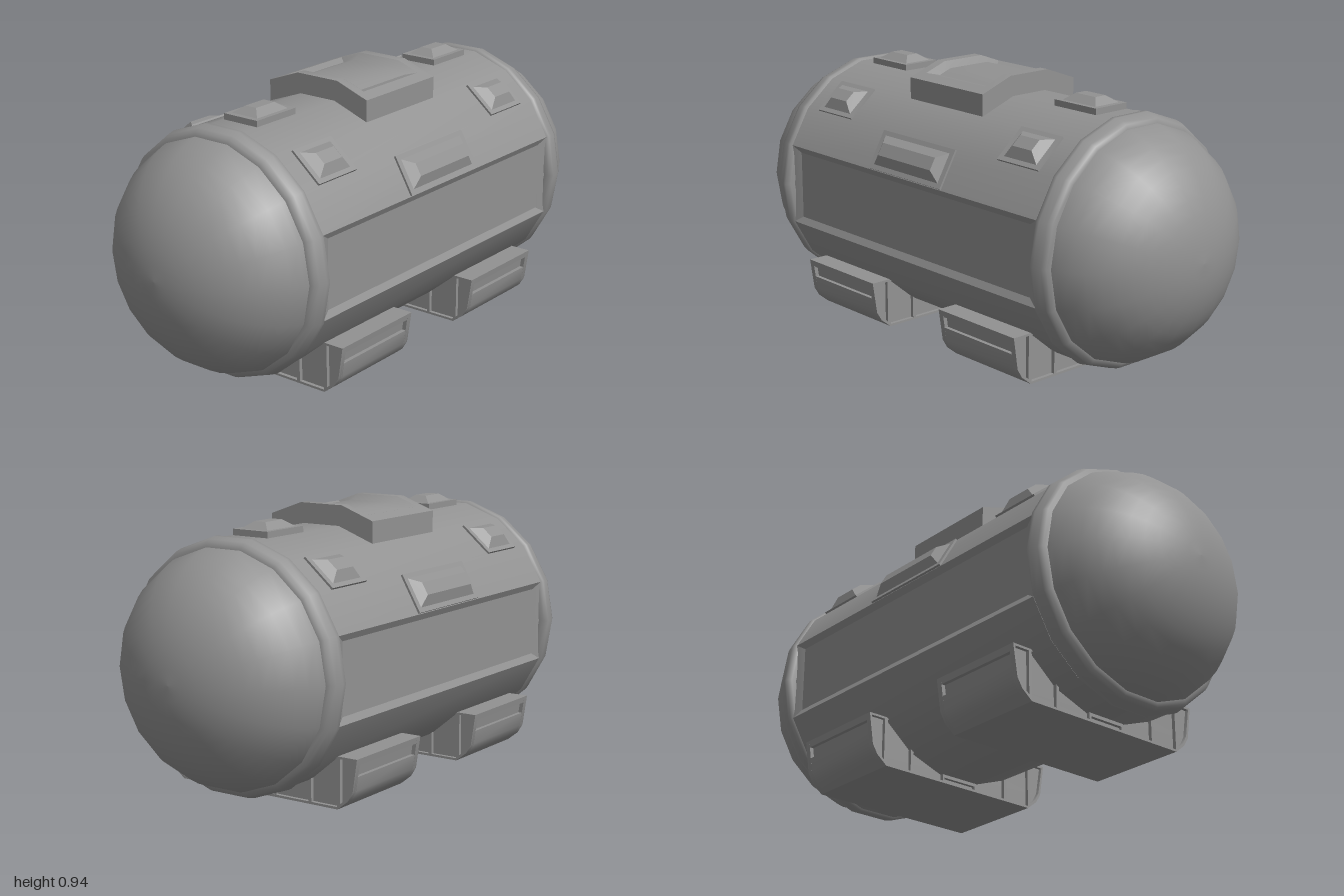
import * as THREE from 'three';
import { toCreasedNormals } from 'three/addons/utils/BufferGeometryUtils.js';

const material = new THREE.MeshStandardMaterial({ color: 0x929292 });
const SIDES = 18, RADIUS = 0.425, AXIS_Y = 0.45, CREASE = 0.42;

function part(name, geometry, parent) {
  const mesh = new THREE.Mesh(geometry, material);
  mesh.name = name;
  parent.add(mesh);
  return mesh;
}

const toShape = pts => new THREE.Shape(pts.map(p => new THREE.Vector2(...p)));
const mirrorX = pts => pts.map(([x, y]) => [-x, y]).reverse();

// Extrudes a shape along z between two positions
function slab(shape, z0, z1) {
  const g = new THREE.ExtrudeGeometry(shape, { depth: z1 - z0, bevelEnabled: false });
  g.translate(0, 0, z0);
  return toCreasedNormals(g, CREASE);
}

// Joins rectangular rings from bottom to top and caps the last one.
// Each ring has its x lines, half depth z and a height rule y(x).
function ringBox(rings) {
  const n = rings[0].xs.length, loop = 2 * n;
  const positions = [], index = [];
  const quad = (a, b, c, d) => index.push(a, b, c, a, c, d);
  for (const { xs, z, y } of rings) {
    for (const x of xs) positions.push(x, y(x), z);
    for (const x of xs.slice().reverse()) positions.push(x, y(x), -z);
  }
  for (let r = 0; r < rings.length - 1; r++) {
    for (let i = 0; i < loop; i++) {
      const a = r * loop + i, b = r * loop + (i + 1) % loop;
      quad(a, b, b + loop, a + loop);
    }
  }
  const top = (rings.length - 1) * loop;
  for (let i = 0; i < n - 1; i++) {
    quad(top + i, top + i + 1, top + loop - 2 - i, top + loop - 1 - i);
  }
  const g = new THREE.BufferGeometry();
  g.setAttribute('position', new THREE.Float32BufferAttribute(positions, 3));
  g.setIndex(index);
  return toCreasedNormals(g, CREASE);
}

// Raised cover with a bevelled centre, turned around the tank axis
function addHatch(name, parent, z, halfLength, degrees, base, peak) {
  const ring = (x, inset, y) => ({ xs: [-x, x], z: halfLength - inset, y: () => y });
  const hatch = part(name, ringBox([
    ring(0.071, 0, 0.38), ring(0.071, 0, base), ring(0.054, 0.02, base), ring(0.023, 0.051, peak),
  ]), parent);
  hatch.position.z = z;
  hatch.rotation.z = -THREE.MathUtils.degToRad(degrees);
}

// Half-foot outline, from bottom centre up the right side
const footSide = [[0.325, 0], [0.365, 0.032], [0.385, 0.065]];
const footTop = [0.402, 0.178];

function createFoot() {
  const foot = new THREE.Group();
  foot.name = 'foot';

  // Core with a groove along each outer side
  const groove = [[0.392, 0.115], [0.378, 0.115], [0.384, 0.155], [0.398, 0.155]];
  const coreHalf = [...footSide, ...groove, footTop];
  part('footCore', slab(toShape([...coreHalf, ...mirrorX(coreHalf)]), -0.168, 0.168), foot);

  // Solid end walls, faced by plates with pockets between the ribs
  const plateHalf = [...footSide, footTop];
  const plateOutline = [...plateHalf, ...mirrorX(plateHalf)];
  const plate = toShape(plateOutline);
  const pockets = [
    [[0.336, 0.02], [0.36, 0.04], [0.377, 0.07], [0.393, 0.17], [0.336, 0.17]],
    [[0.22, 0.008], [0.324, 0.008], [0.324, 0.17], [0.22, 0.17]],
    [[0.076, 0.008], [0.208, 0.008], [0.208, 0.17], [0.076, 0.17]],
  ];
  for (const pocket of pockets) plate.holes.push(toShape(pocket), toShape(mirrorX(pocket)));
  plate.holes.push(toShape([[-0.068, 0.008], [0.068, 0.008], [0.068, 0.02], [-0.068, 0.02]]));
  for (const turn of [0, Math.PI]) {
    part('footEndWall', slab(toShape(plateOutline), 0.168, 0.175), foot).rotation.y = turn;
    part('footEndPlate', slab(plate, 0.175, 0.188), foot).rotation.y = turn;
  }
  return foot;
}

export function createModel() {
  const model = new THREE.Group();
  model.name = 'tank';
  const tank = new THREE.Group();
  tank.name = 'tankBody';
  tank.position.y = AXIS_Y;
  model.add(tank);

  // Shell: faceted tube with a flat sunken panel on each side
  const outline = [];
  for (let i = 0; i < SIDES; i++) {
    const a = (i / SIDES) * Math.PI * 2;
    if (i % (SIDES / 2) === 0) {
      const s = Math.cos(a);
      outline.push([0.387 * s, -0.122 * s], [0.387 * s, 0.122 * s]);
    } else {
      outline.push([RADIUS * Math.cos(a), RADIUS * Math.sin(a)]);
    }
  }
  part('shell', slab(toShape(outline), -0.65, 0.65), tank);

  // Sloped ends of the side panels
  for (const side of [-1, 1]) {
    for (const end of [-1, 1]) {
      const profile = [[0.38, 0.6], [0.387, 0.612], [0.399, 0.65], [0.38, 0.65]];
      const g = slab(toShape(profile.map(([x, z]) => [side * x, end * z])), -0.144, 0.144);
      g.rotateX(Math.PI / 2);
      part('panelEnd', g, tank);
    }
  }

  // Rounded collars and domed ends
  const dome = [];
  for (let i = 0; i <= 12; i++) {
    const t = (i / 12) * Math.PI / 2;
    dome.push(new THREE.Vector2(i === 12 ? 0 : 0.41 * Math.cos(t), 0.65 + 0.35 * Math.sin(t)));
  }
  const collar = [[0.4, 0.643], [0.418, 0.645], [0.432, 0.657], [0.432, 0.672],
    [0.425, 0.7], [0.417, 0.717], [0.4, 0.721]].map(p => new THREE.Vector2(...p));
  for (const turn of [0, Math.PI]) {
    for (const [name, profile] of [['dome', dome], ['collar', collar]]) {
      const g = new THREE.LatheGeometry(profile, SIDES, Math.PI / 2);
      g.rotateX(Math.PI / 2);
      g.rotateY(turn);
      part(name, g, tank);
    }
  }

  // Large curved cover on top with a shallow recess
  const roof = x => 0.49 - Math.max(0, Math.abs(x) - 0.086) * 0.364;
  const coverRing = (x, z, y) => ({ xs: [-x, -0.086, 0.086, x], z, y });
  part('topCover', ringBox([
    coverRing(0.212, 0.19, () => 0.36),
    coverRing(0.212, 0.19, roof),
    coverRing(0.17, 0.154, roof),
    coverRing(0.135, 0.122, x => roof(x) - 0.02),
  ]), tank);

  // Small hatches near both ends and a long one on each flank
  for (const z of [-0.485, 0.485]) {
    addHatch('topHatch', tank, z, 0.096, 0, 0.44, 0.463);
    for (const degrees of [-40, 40]) addHatch('sideHatch', tank, z, 0.096, degrees, 0.426, 0.451);
  }
  for (const degrees of [-60, 60]) addHatch('longHatch', tank, 0, 0.19, degrees, 0.426, 0.451);

  // Support feet
  for (const z of [-0.366, 0.371]) {
    const foot = createFoot();
    foot.position.z = z;
    model.add(foot);
  }
  return model;
}
